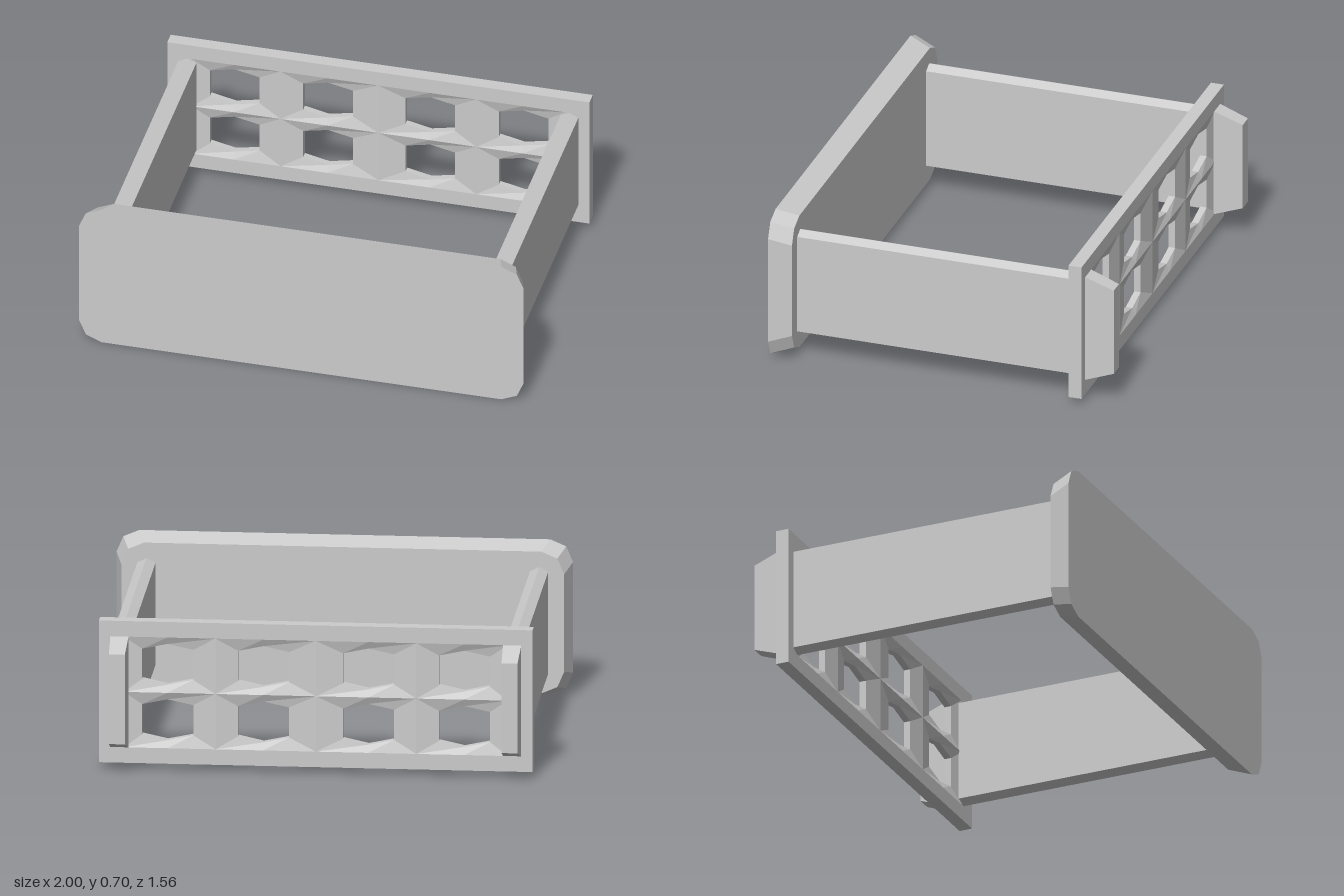
import * as THREE from 'three';
import { ConvexGeometry } from 'three/addons/geometries/ConvexGeometry.js';

const V = (x, y, z) => new THREE.Vector3(x, y, z);
const CY = 0.35; // mid height of the whole drawer

export function createModel() {
  const group = new THREE.Group();
  const material = new THREE.MeshStandardMaterial({ color: 0xcccccc, flatShading: true });
  const add = (name, geometry) => {
    const mesh = new THREE.Mesh(geometry, material);
    mesh.name = name;
    group.add(mesh);
  };

  // Front panel: clipped-corner slab that narrows toward the back
  const slab = [];
  for (const [inset, z] of [[0, 0.78], [0.03, 0.68]])
    for (const [x, y] of [[0.9, 0.35], [0.97, 0.32], [1, 0.25]])
      for (const sx of [-1, 1]) for (const sy of [-1, 1])
        slab.push(V(sx * (x - inset), CY + sy * (y - inset), z));
  add('frontPanel', new ConvexGeometry(slab));

  for (const [side, s] of [['left', 1], ['right', -1]]) {
    // Side wall with ridged top and bottom edges
    const wall = [];
    for (const z of [0.685, -0.6])
      for (const sy of [-1, 1])
        for (const [x, h] of [[0.82, 0.23], [0.86, 0.25], [0.9, 0.23]])
          wall.push(V(s * x, CY + sy * h, z));
    add(side + 'Wall', new ConvexGeometry(wall));

    // Tapered rear stop
    const stop = [];
    for (const [z, w, h] of [[-0.64, 0.04, 0.25], [-0.65, 0.04, 0.25], [-0.78, 0.035, 0.2025]])
      for (const sx of [-1, 1]) for (const sy of [-1, 1])
        stop.push(V(s * 0.86 + sx * w, CY + sy * h, z));
    add(side + 'RearStop', new ConvexGeometry(stop));
  }

  // Back panel border
  const border = new THREE.Shape([[-0.95, 0.03], [0.95, 0.03], [0.95, 0.67], [-0.95, 0.67]]
    .map(([x, y]) => new THREE.Vector2(x, y)));
  border.holes.push(new THREE.Path([[-0.84, 0.1], [-0.84, 0.6], [0.84, 0.6], [0.84, 0.1]]
    .map(([x, y]) => new THREE.Vector2(x, y))));
  const frame = new THREE.ExtrudeGeometry(border, { depth: 0.06, bevelEnabled: false });
  frame.translate(0, 0, -0.65);
  add('backPanelFrame', frame);

  // Back panel lattice: faceted cells sloping in to hexagonal openings
  const positions = [];
  const quad = (a, b, c, d) => {
    for (const p of [a, b, c, a, c, d]) positions.push(p.x, p.y, p.z);
  };
  for (const [x0, x1, cx] of [[-0.84, -0.44, -0.65], [-0.44, 0, -0.23], [0, 0.44, 0.23], [0.44, 0.84, 0.65]])
    for (const cy of [CY - 0.125, CY + 0.125]) {
      const outer = [[x1, -0.125], [x1, 0.125], [cx, 0.125], [x0, 0.125], [x0, -0.125], [cx, -0.125]];
      const inner = [[0.112, -0.068], [0.112, 0.068], [0, 0.092], [-0.112, 0.068], [-0.112, -0.068], [0, -0.092]];
      const ring = (pts, dx, z) => pts.map(([x, y]) => V(x + dx, cy + y, z));
      const rings = [ring(outer, 0, -0.59), ring(inner, cx, -0.605), ring(inner, cx, -0.635), ring(outer, 0, -0.65)];
      for (let r = 0; r < 3; r++)
        for (let i = 0; i < 6; i++) {
          const j = (i + 1) % 6;
          quad(rings[r][i], rings[r][j], rings[r + 1][j], rings[r + 1][i]);
        }
    }
  const lattice = new THREE.BufferGeometry();
  lattice.setAttribute('position', new THREE.Float32BufferAttribute(positions, 3));
  lattice.computeVertexNormals();
  add('backPanelLattice', lattice);

  return group;
}
